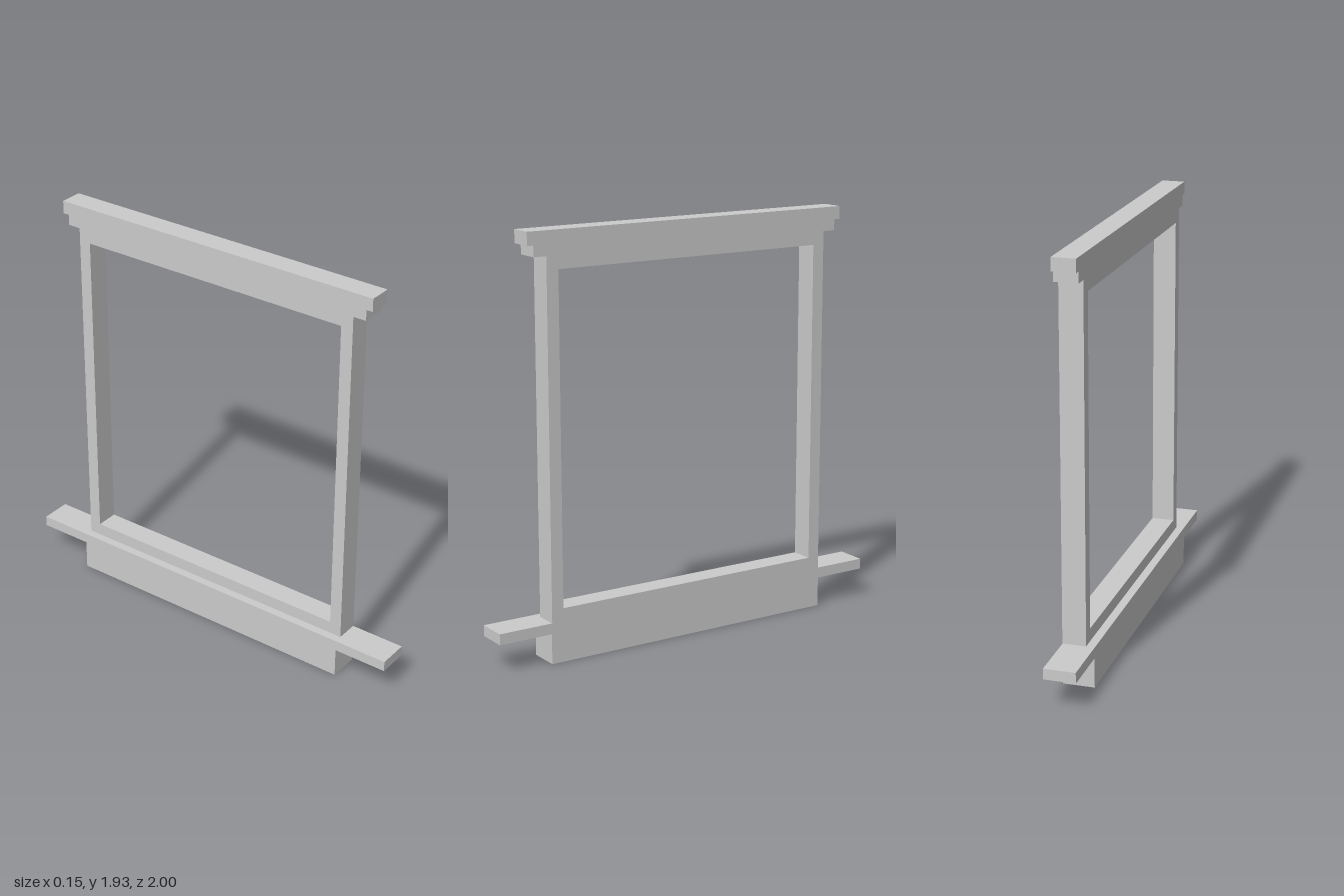
import * as THREE from 'three';

const material = new THREE.MeshStandardMaterial({ color: 0xcccccc, flatShading: true });

// Mirrored outline from [half width, y] points listed bottom to top
function mirroredOutline(Type, half) {
  const right = half.map(([w, y]) => new THREE.Vector2(w, y));
  const left = half.map(([w, y]) => new THREE.Vector2(-w, y)).reverse();
  return new Type([...right, ...left]);
}

// Outline runs along z and is extruded between x0 and x1
function slab(name, half, x0, x1, hole) {
  const shape = mirroredOutline(THREE.Shape, half);
  if (hole) shape.holes.push(mirroredOutline(THREE.Path, hole));
  const geometry = new THREE.ExtrudeGeometry(shape, { depth: x1 - x0, bevelEnabled: false });
  geometry.rotateY(Math.PI / 2).translate(x0, 0, 0);
  const mesh = new THREE.Mesh(geometry, material);
  mesh.name = name;
  return mesh;
}

export function createModel() {
  const group = new THREE.Group();
  group.name = 'windowFrame';
  const back = -0.036, face = 0.072;

  // Apron with the long sill board, projecting past the frame
  group.add(slab('sill', [[0.74, 0], [0.74, 0.14], [1, 0.14], [1, 0.19], [0.74, 0.19]], -0.075, 0.071));

  // Jambs and rails around the opening
  group.add(slab('frame', [[0.738, 0.19], [0.738, 1.82]], back, face, [[0.68, 0.25], [0.68, 1.76]]));

  // Stepped header
  group.add(slab('header', [[0.8, 1.82], [0.8, 1.87], [0.83, 1.87], [0.83, 1.93]], back, face));

  return group;
}
